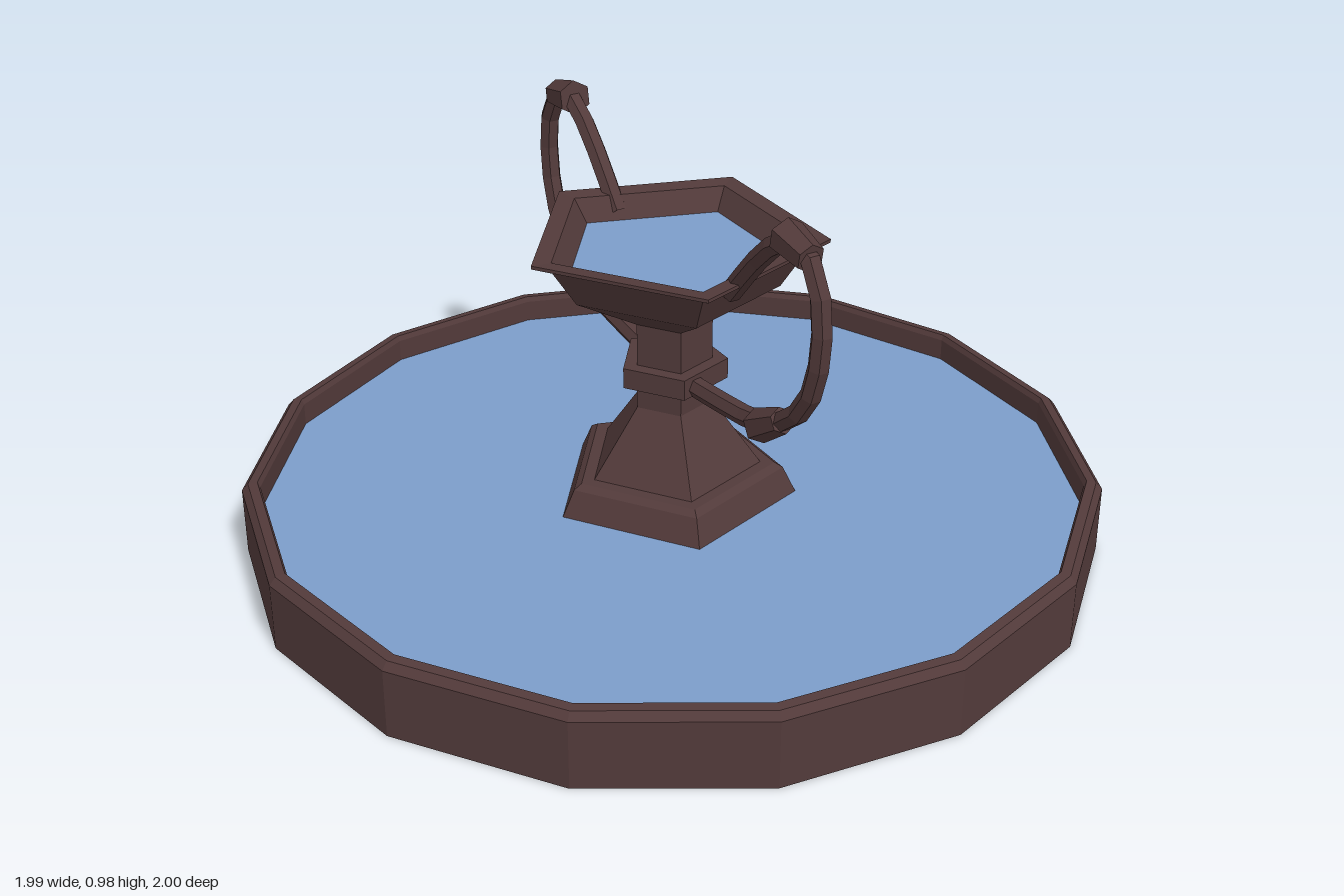
import * as THREE from 'three';

const stone = new THREE.MeshStandardMaterial({ color: 0x523a3a, flatShading: true });
stone.name = 'brown stone';
const water = new THREE.MeshStandardMaterial({ color: 0x7c9dca, flatShading: true });
water.name = 'blue water';

function add(parent, name, geometry, material) {
  const mesh = new THREE.Mesh(geometry, material);
  mesh.name = name;
  parent.add(mesh);
  return mesh;
}

// Faceted turned part with one corner pointing to -x
function turned(parent, name, sides, profile) {
  const points = profile.map(([r, y]) => new THREE.Vector2(r, y));
  return add(parent, name, new THREE.LatheGeometry(points, sides, -Math.PI / 2), stone);
}

// Flat polygon of water matching a turned part
function pool(parent, name, sides, radius, y) {
  const geometry = new THREE.CircleGeometry(radius, sides, Math.PI);
  geometry.rotateX(-Math.PI / 2);
  add(parent, name, geometry, water).position.y = y;
}

// Flared sleeve between two points of a handle
function sleeve(parent, name, from, to, r0, r1) {
  const a = new THREE.Vector3(0, from[1], from[0]);
  const b = new THREE.Vector3(0, to[1], to[0]);
  const dir = b.clone().sub(a);
  const mesh = add(parent, name, new THREE.CylinderGeometry(r1, r0, dir.length(), 6), stone);
  mesh.position.copy(a).add(b).multiplyScalar(0.5);
  mesh.quaternion.setFromUnitVectors(new THREE.Vector3(0, 1, 0), dir.normalize());
}

function makeHandle(name) {
  const handle = new THREE.Group();
  handle.name = name;
  // Path points are [z, y]
  const path = [
    [0.08, 0.425], [0.24, 0.443], [0.39, 0.47], [0.47, 0.515], [0.55, 0.59], [0.595, 0.72],
    [0.59, 0.85], [0.55, 0.92], [0.48, 0.94], [0.42, 0.905], [0.35, 0.84], [0.25, 0.725],
  ].map(([z, y]) => new THREE.Vector3(0, y, z));
  const curve = new THREE.CatmullRomCurve3(path);
  add(handle, 'handleTube', new THREE.TubeGeometry(curve, 16, 0.024, 6), stone);
  sleeve(handle, 'lowerSleeve', [0.465, 0.513], [0.374, 0.457], 0.03, 0.04);
  sleeve(handle, 'upperSleeve', [0.55, 0.925], [0.457, 0.942], 0.033, 0.042);
  return handle;
}

export function createModel() {
  const model = new THREE.Group();
  model.name = 'fountain';
  const body = new THREE.Group();
  body.name = 'fountainBody';
  body.position.x = 0.01;
  model.add(body);

  // Basin
  turned(body, 'basin', 15, [
    [0, 0], [1.005, 0], [1.005, 0.163], [0.99, 0.18], [0.968, 0.183], [0.962, 0.17], [0.962, 0.1],
  ]);
  pool(body, 'basinWater', 15, 0.963, 0.115);

  // Pedestal
  turned(body, 'pedestalFoot', 5, [
    [0.3, 0.1], [0.262, 0.178], [0.242, 0.19], [0.205, 0.19],
  ]);
  turned(body, 'pedestalColumn', 5, [
    [0.212, 0.185], [0.093, 0.35], [0.093, 0.57],
  ]);
  turned(body, 'collar', 5, [
    [0.09, 0.41], [0.129, 0.41], [0.129, 0.46], [0.09, 0.46],
  ]);

  // Bowl
  turned(body, 'bowl', 5, [
    [0.093, 0.563], [0.245, 0.65], [0.303, 0.74], [0.354, 0.762], [0.354, 0.77],
    [0.305, 0.766], [0.262, 0.71],
  ]);
  pool(body, 'bowlWater', 5, 0.265, 0.715);

  // Front and back handles
  body.add(makeHandle('frontHandle'));
  const back = makeHandle('backHandle');
  back.rotation.y = Math.PI;
  body.add(back);

  return model;
}
